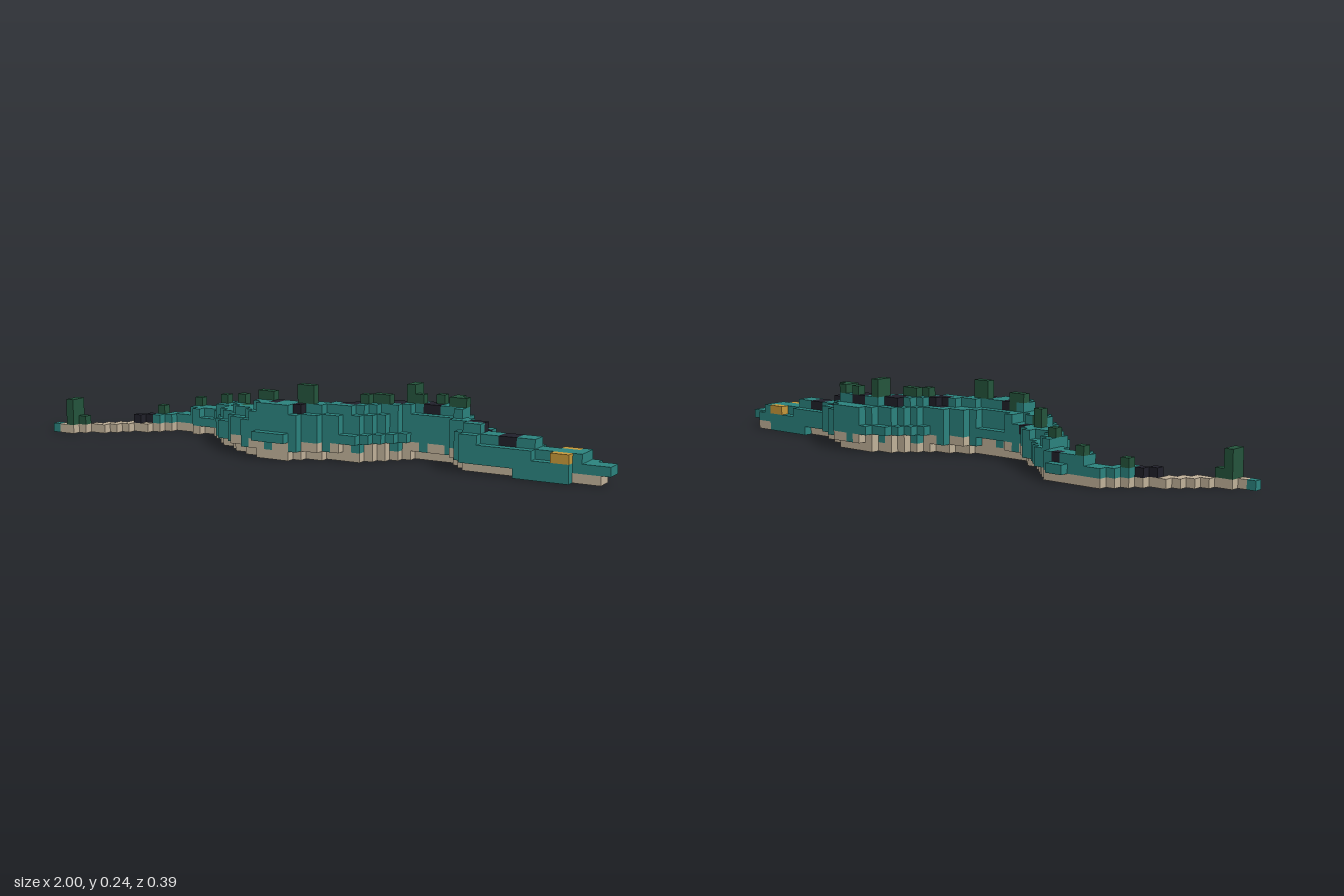
import * as THREE from 'three';
import { mergeGeometries } from 'three/addons/utils/BufferGeometryUtils.js';

const COLUMNS = 67, S = 2 / COLUMNS; // cube size, columns run from tail tip to snout

// Stepped outline of the winding body: [column, row] points, rows grow toward +z
const BACK_EDGE = [[0, 10], [2, 9.4], [10, 3], [12, 1], [15, 1], [16, 0], [17, 0], [18, 1], [20, 2], [26, 7],
  [33, 7], [38, 4], [41, 1], [43, 0], [47, 0], [48, 1], [53, 4], [64, 4], [65, 5], [66, 5]];
const FRONT_EDGE = [[0, 10], [2, 10], [11, 3], [12, 2], [14, 2], [15, 3], [18, 3], [20, 5], [21, 7], [24, 9],
  [28, 11], [29, 12], [32, 12], [33, 11], [36, 9], [39, 9], [44, 4], [48, 4], [51, 7], [62, 7], [63, 6], [66, 6]];
const RISES = [10, 14, 19, 24, 28], FALLS = [50, 53, 59, 64];

// Spines: column, row, first level, last level
const SPINES = [[2, 9, 1, 3], [2, 10, 1, 3], [3, 9, 1, 1], [10, 3, 2, 2], [14, 1, 3, 3], [19, 3, 4, 4], [24, 7, 4, 5],
  [25, 8, 4, 4], [28, 9, 6, 6], [29, 9, 5, 6], [33, 9, 6, 7], [34, 9, 6, 7], [39, 6, 6, 6], [40, 5, 6, 6],
  [41, 5, 6, 6], [43, 3, 6, 7], [43, 2, 6, 7], [44, 3, 6, 6], [46, 2, 6, 6], [48, 2, 6, 6], [48, 3, 6, 6], [49, 3, 6, 6]];
// Back spots: first column, last column, first row, last row
const SPOTS = [[17, 17, 1, 1], [21, 21, 4, 4], [26, 26, 7, 7], [30, 30, 9, 10], [33, 33, 10, 10], [37, 38, 6, 7],
  [41, 42, 3, 4], [45, 46, 2, 3], [51, 52, 4, 5], [55, 56, 5, 6]];

function edgeAt(points, c) {
  const i = Math.max(1, points.findIndex((p) => p[0] >= c));
  const [c0, r0] = points[i - 1], [c1, r1] = points[i];
  return Math.round(r0 + (r1 - r0) * (c - c0) / (c1 - c0));
}

function fillCells() {
  const cells = new Map();
  const key = (c, y, r) => `${c},${y},${r}`;
  const put = (c, y, r, part) => cells.set(key(c, y, r), { c, y, r, part });

  for (let c = 0; c < COLUMNS; c++) {
    const lo = edgeAt(BACK_EDGE, c), hi = edgeAt(FRONT_EDGE, c), w = hi - lo + 1;
    const h = 1 + RISES.filter((k) => k <= c).length - FALLS.filter((k) => k <= c).length;
    for (let y = 0; y < h; y++) {
      // Belly and back are narrower than the flanks
      let a = 0, b = 0;
      if (y === 0) a = b = w >= 4 ? 1 : 0;
      else if (y === h - 1) {
        a = w >= 5 ? 2 : w >= 4 ? 1 : 0;
        b = w >= 7 ? 2 : w >= 4 ? 1 : 0;
      } else if (w >= 6 && y !== 2) a = b = 1;
      for (let r = lo + a; r <= hi - b; r++) {
        const scallop = y === 1 && c > 24 && c < 50 && c % 3 !== 0 && (r === lo + a || r === hi - b);
        put(c, y, r, y === 0 || scallop ? 'belly' : 'body');
      }
    }
  }

  // Tail tip, jaw sides, snout and eyes
  put(0, 0, 10, 'body');
  for (const r of [4, 7]) {
    for (let c = 57; c <= 62; c++) put(c, 0, r, 'body');
    for (const c of [61, 62]) put(c, 2, r, 'eyes');
  }
  for (const r of [5, 6]) cells.delete(key(66, 0, r));

  // Spots recolour the topmost cube; the tail spot stands on the tail
  for (const [c0, c1, r0, r1] of SPOTS)
    for (let c = c0; c <= c1; c++)
      for (let r = r0; r <= r1; r++)
        for (let y = 7; y >= 0; y--)
          if (cells.has(key(c, y, r))) { put(c, y, r, 'backSpots'); break; }
  put(8, 1, 5, 'backSpots');
  put(9, 1, 4, 'backSpots');

  for (const [c, r, y0, y1] of SPINES) for (let y = y0; y <= y1; y++) put(c, y, r, 'spines');
  return { cells, key };
}

// One outward square for each side of a cube
function cubeSides() {
  const q = Math.PI / 2;
  return [[0, 0, 1, 0, 0], [0, 0, -1, 0, 2 * q], [1, 0, 0, 0, q], [-1, 0, 0, 0, -q], [0, 1, 0, -q, 0], [0, -1, 0, q, 0]]
    .map(([x, y, z, rx, ry]) => ({
      x, y, z, square: new THREE.PlaneGeometry(S, S).translate(0, 0, S / 2).rotateX(rx).rotateY(ry),
    }));
}

export function createModel() {
  const colours = {
    body: ['teal scales', 0x2b837e], belly: ['sand belly', 0xc0b199], spines: ['dark green', 0x24543c],
    backSpots: ['charcoal', 0x20202a], eyes: ['amber', 0xc6983a],
  };
  const { cells, key } = fillCells();
  const sides = cubeSides();
  const faces = Object.fromEntries(Object.keys(colours).map((part) => [part, []]));

  // Only exposed cube sides are built
  for (const { c, y, r, part } of cells.values())
    for (const d of sides)
      if (!cells.has(key(c + d.x, y + d.y, r + d.z)))
        faces[part].push(d.square.clone().translate((c - 33) * S, (y + 0.5) * S, (r - 6) * S));

  const snake = new THREE.Group();
  snake.name = 'snake';
  for (const [part, [name, color]] of Object.entries(colours)) {
    const material = new THREE.MeshStandardMaterial({ color });
    material.name = name;
    const mesh = new THREE.Mesh(mergeGeometries(faces[part]), material);
    mesh.name = part;
    snake.add(mesh);
  }
  return snake;
}
